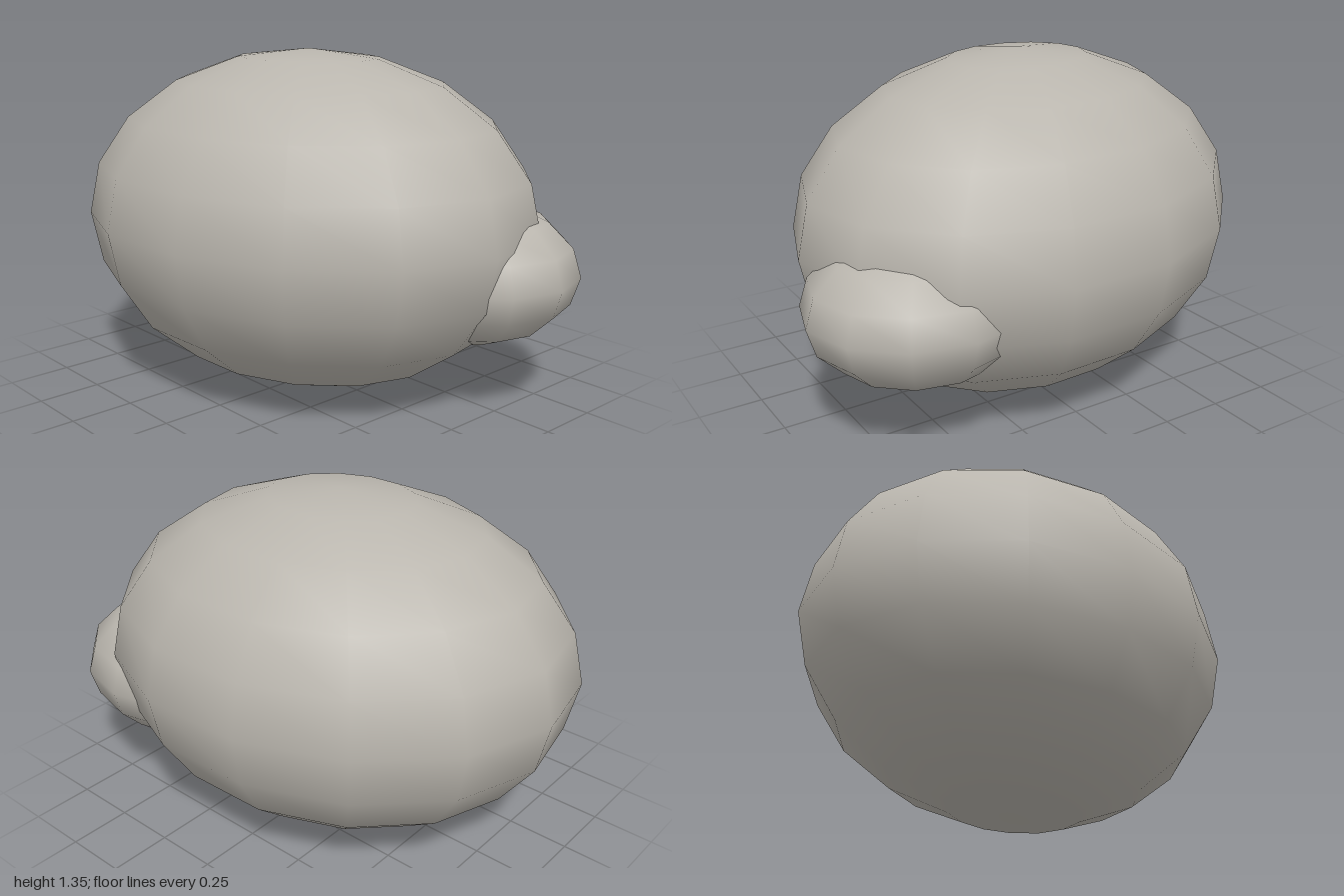
import * as THREE from 'three';

const stone = new THREE.MeshStandardMaterial({ color: 0xbab6ae });
stone.name = 'warm grey';

// Low-poly smooth ellipsoid; xAxis and zAxis are its half axes in plan as [x, z]
function ellipsoid(name, centre, xAxis, height, zAxis, sides, rings) {
  const geometry = new THREE.SphereGeometry(1, sides, rings);
  geometry.applyMatrix4(new THREE.Matrix4().set(
    xAxis[0], 0, zAxis[0], centre[0],
    0, height, 0, centre[1],
    xAxis[1], 0, zAxis[1], centre[2],
    0, 0, 0, 1
  ));
  const mesh = new THREE.Mesh(geometry, stone);
  mesh.name = name;
  return mesh;
}

export function createModel() {
  const group = new THREE.Group();
  group.name = 'roundedBoulder';

  // Large body, slightly skewed in plan
  group.add(ellipsoid('mainBody', [-0.045, 0.675, -0.005], [0.955, -0.025], 0.675, [-0.058, 0.795], 14, 10));

  // Small lump sunk into the back left side
  group.add(ellipsoid('sideLump', [0.555, 0.528, -0.287], [0.445, -0.004], 0.285, [0, 0.407], 12, 8));

  return group;
}
